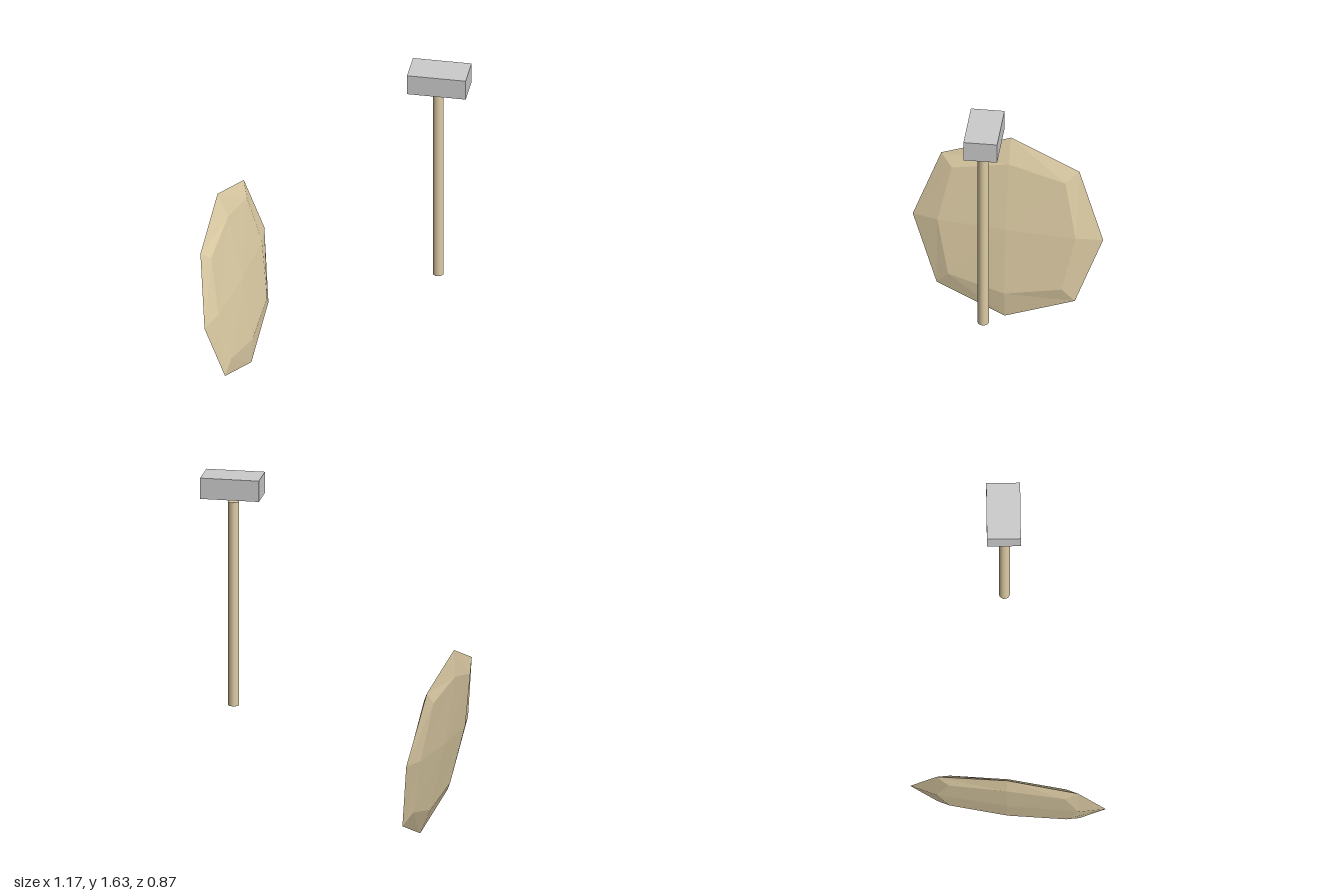
import * as THREE from 'three';

const wood = new THREE.MeshStandardMaterial({ color: 0xdfcea6, flatShading: true });
const smoothWood = new THREE.MeshStandardMaterial({ color: 0xdfcea6 });
const grey = new THREE.MeshStandardMaterial({ color: 0xcccccc, flatShading: true });

function addMesh(group, name, geometry, material, x, y, z) {
  const mesh = new THREE.Mesh(geometry, material);
  mesh.name = name;
  mesh.position.set(x, y, z);
  group.add(mesh);
  return mesh;
}

// Cube with each face cut in 2 x 2, rounded by pulling in its edges and corners
function roundedCube() {
  const geometry = new THREE.BoxGeometry(2, 2, 2, 2, 2, 2);
  const pos = geometry.attributes.position;
  const pull = [0, 1, 0.726, 0.596]; // face centre, edge middle, corner
  const p = new THREE.Vector3();
  for (let i = 0; i < pos.count; i++) {
    p.fromBufferAttribute(pos, i).round();
    const axes = Math.abs(p.x) + Math.abs(p.y) + Math.abs(p.z);
    p.multiplyScalar(pull[axes]);
    pos.setXYZ(i, p.x, p.y, p.z);
  }
  geometry.computeVertexNormals();
  return geometry;
}

export function createModel() {
  const group = new THREE.Group();
  group.name = 'malletAndDisc';

  // Mallet: grey block above a round handle
  addMesh(group, 'malletHead', new THREE.BoxGeometry(0.267, 0.097, 0.152), grey, 0.032, 1.586, -0.008);
  addMesh(group, 'malletHandle', new THREE.CylinderGeometry(0.025, 0.025, 0.95, 16), smoothWood, 0.028, 1.036, -0.004);

  // Flattened disc, leaning outward at the top and turned slightly
  const disc = addMesh(group, 'disc', roundedCube(), wood, -0.898, 0.438, 0);
  const up = new THREE.Vector3(-0.177, 0.984, -0.011).normalize();
  const front = new THREE.Vector3(-0.136, 0, 0.99).normalize();
  const side = new THREE.Vector3().crossVectors(up, front).normalize();
  front.crossVectors(side, up);
  disc.quaternion.setFromRotationMatrix(new THREE.Matrix4().makeBasis(side, up, front));
  disc.scale.set(0.038, 0.44, 0.441);

  return group;
}
